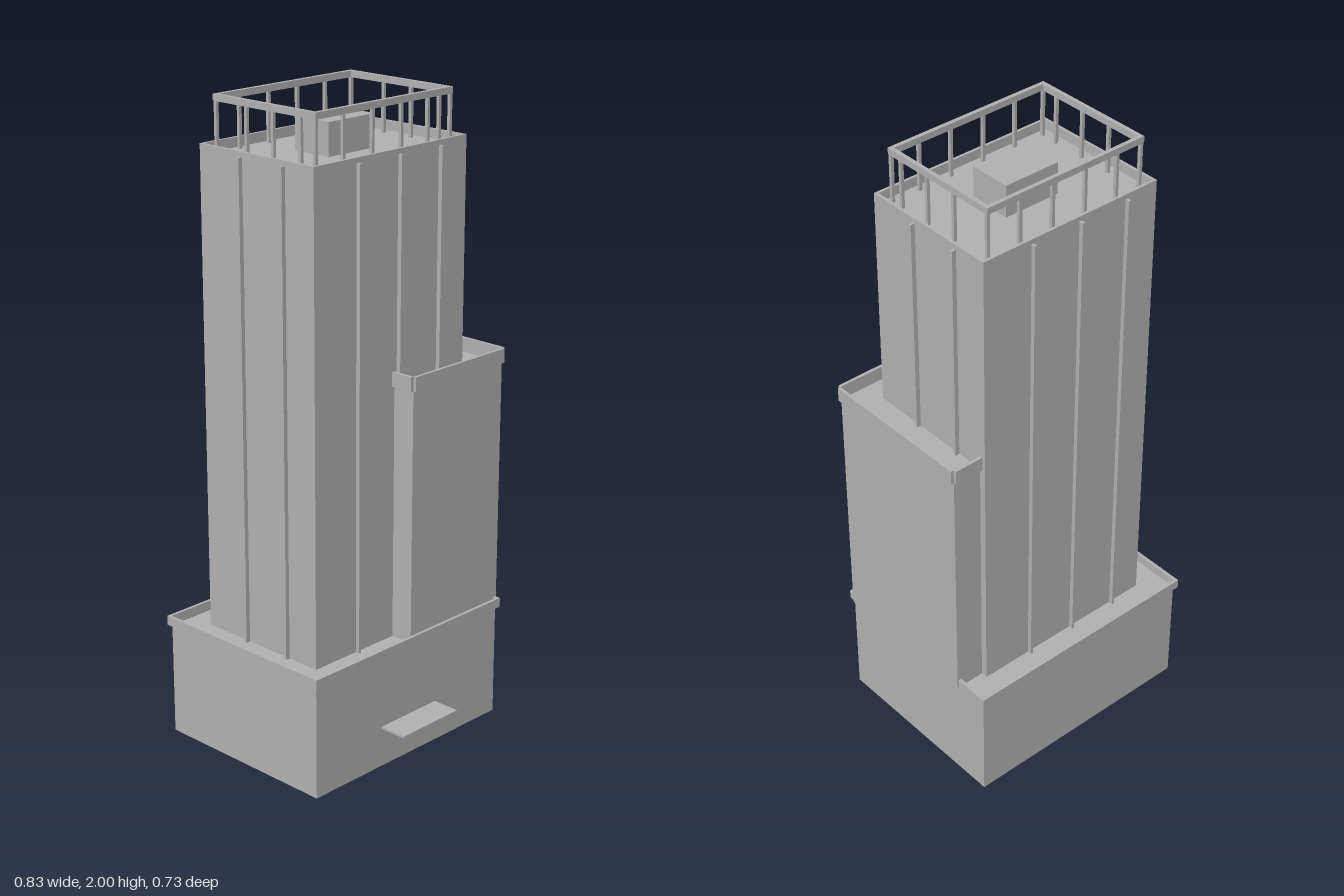
import * as THREE from 'three';

const concrete = new THREE.MeshStandardMaterial({ color: 0xb0b0b0, side: THREE.DoubleSide });
concrete.name = 'concrete grey';

// Box given by its limits on each axis
function block(parent, name, x0, x1, y0, y1, z0, z1) {
  const geo = new THREE.BoxGeometry(x1 - x0, y1 - y0, z1 - z0);
  const mesh = new THREE.Mesh(geo, concrete);
  mesh.name = name;
  mesh.position.set((x0 + x1) / 2, (y0 + y1) / 2, (z0 + z1) / 2);
  parent.add(mesh);
  return mesh;
}

// Walls and roof without a floor
function shell(parent, name, ...limits) {
  const mesh = block(parent, name, ...limits);
  const index = Array.from(mesh.geometry.index.array);
  index.splice(18, 6);
  mesh.geometry.setIndex(index);
  mesh.geometry.clearGroups();
}

// Rectangular frame of constant wall thickness
function frame(parent, name, x0, x1, y0, y1, z0, z1, t) {
  const rect = (path, a, b, c, d) => {
    path.moveTo(a, c);
    path.lineTo(b, c);
    path.lineTo(b, d);
    path.lineTo(a, d);
    path.closePath();
    return path;
  };
  const shape = rect(new THREE.Shape(), x0, x1, -z1, -z0);
  shape.holes.push(rect(new THREE.Path(), x0 + t, x1 - t, -z1 + t, -z0 - t));
  const geo = new THREE.ExtrudeGeometry(shape, { depth: y1 - y0, bevelEnabled: false });
  geo.rotateX(-Math.PI / 2);
  geo.translate(0, y0, 0);
  const mesh = new THREE.Mesh(geo, concrete);
  mesh.name = name;
  parent.add(mesh);
}

function group(parent, name) {
  const g = new THREE.Group();
  g.name = name;
  parent.add(g);
  return g;
}

export function createModel() {
  const model = new THREE.Group();
  model.name = 'towerBuilding';

  // Podium, hollow underneath, with a projecting parapet and entrance canopy
  const podium = group(model, 'podium');
  shell(podium, 'podiumWalls', -0.405, 0.391, 0, 0.36, -0.353, 0.272);
  frame(podium, 'podiumParapet', -0.415, 0.4, 0.36, 0.39, -0.364, 0.283, 0.01);
  block(podium, 'entranceCanopy', -0.127, 0.112, 0.125, 0.132, 0.272, 0.3635);

  // Main tower
  const tower = group(model, 'tower');
  shell(tower, 'towerWalls', -0.321, 0.308, 0.36, 1.83, -0.27, 0.188);
  frame(tower, 'towerParapet', -0.321, 0.308, 1.83, 1.86, -0.27, 0.188, 0.009);
  block(tower, 'penthouse', -0.1, 0.088, 1.83, 1.93, -0.108, 0.028);

  // Slim vertical fins on all four sides
  const fins = group(tower, 'fins');
  const w = 0.004;
  for (const x of [-0.149, 0.021, 0.192]) block(fins, 'frontFin', x - w, x + w, 0.36, 1.845, 0.18, 0.202);
  for (const x of [-0.207, -0.036, 0.136]) block(fins, 'backFin', x - w, x + w, 0.36, 1.845, -0.284, -0.262);
  for (const z of [-0.155, 0.017]) block(fins, 'leftFin', 0.3, 0.322, 0.36, 1.845, z - w, z + w);
  for (const z of [-0.098, 0.073]) block(fins, 'rightFin', -0.335, -0.313, 0.36, 1.845, z - w, z + w);

  // Rooftop railing frame on posts
  const crown = group(tower, 'roofRailing');
  frame(crown, 'topRail', -0.288, 0.274, 1.98, 2, -0.247, 0.163, 0.013);
  const post = (x, z) => block(crown, 'post', x - 0.005, x + 0.005, 1.83, 1.98, z - 0.005, z + 0.005);
  for (const x of [-0.282, 0.268]) for (const z of [-0.24, 0.157]) post(x, z);
  for (const x of [-0.175, -0.058, 0.06, 0.172]) post(x, 0.157);
  for (const x of [-0.193, -0.077, 0.04, 0.156]) post(x, -0.24);
  for (const z of [0.115, 0.005, -0.105]) post(0.268, z);
  for (const z of [0.1, -0.008, -0.115]) post(-0.282, z);

  // Lower annex wrapped around the front left corner
  const annex = group(model, 'annex');
  const [x0, x1, z0, z1] = [0.008, 0.404, -0.249, 0.263];
  const [y0, y1, t] = [1.16, 1.205, 0.01];
  block(annex, 'annexWalls', x0, x1, 0.36, y0, z0, z1);

  // Parapet bars that leave the outer corners open
  block(annex, 'annexParapetFront', x0, x1, y0, y1, z1, z1 + t);
  block(annex, 'annexParapetBack', x0, x1, y0, y1, z0 - t, z0);
  block(annex, 'annexParapetLeft', x1, x1 + t, y0, y1, z0, z1);
  block(annex, 'annexParapetRight', x0 - t, x0, y0, y1, z0, z1);

  return model;
}
